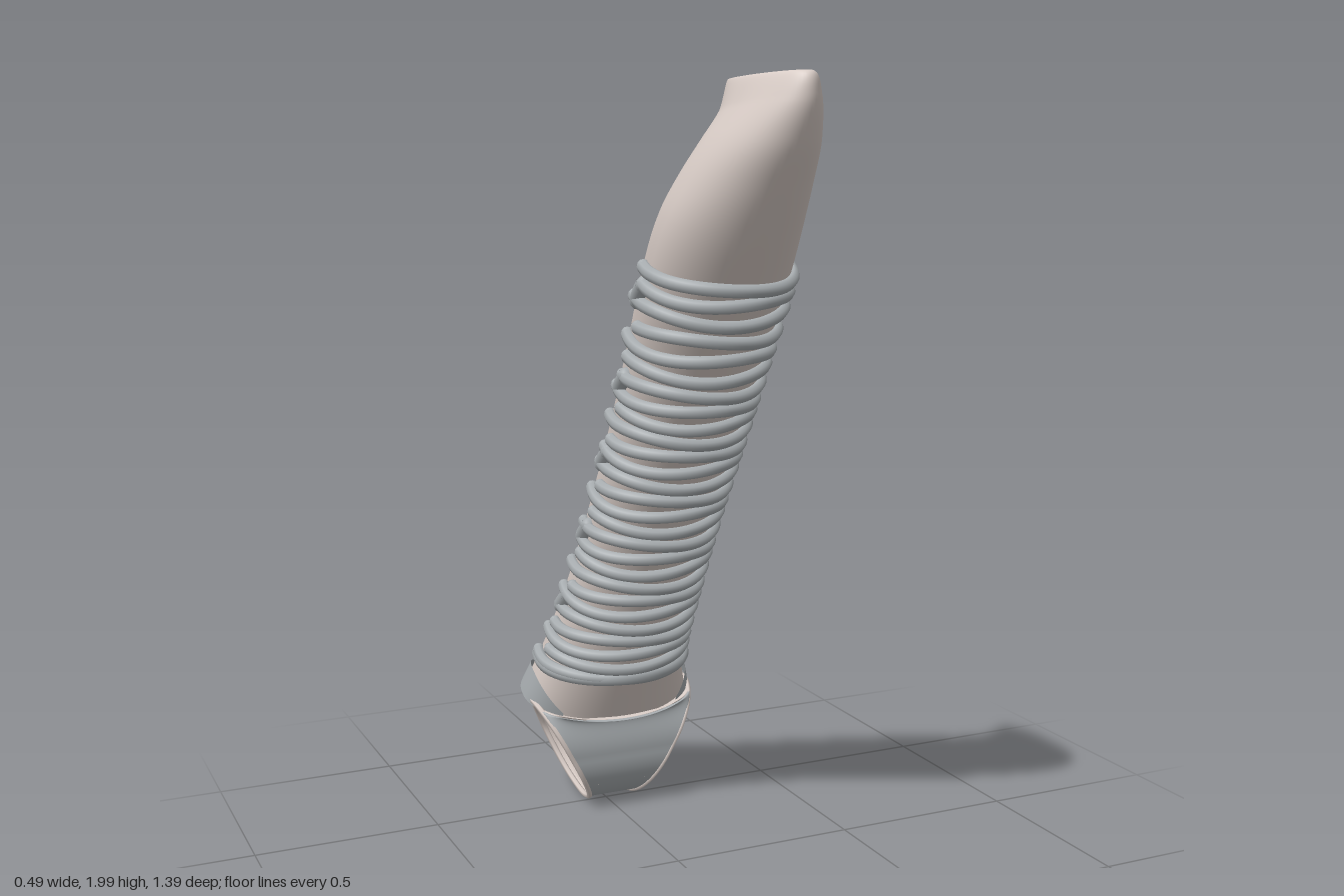
import * as THREE from 'three';

const wallMat = new THREE.MeshStandardMaterial({ color: 0xd9cdc7, side: THREE.DoubleSide });
const cartilageMat = new THREE.MeshStandardMaterial({ color: 0xa8adb0, side: THREE.DoubleSide });
const { sin, cos, PI, max } = Math;

// Stations down the tube: front z, front y, back z, back y, right x, left x
const stations = [
  [0.59, 1.97, 0.37, 1.965, -0.06, 0.005],
  [0.69, 1.99, 0.35, 1.98, -0.075, 0.03],
  [0.70, 1.94, 0.35, 1.91, -0.105, 0.055],
  [0.67, 1.85, 0.335, 1.85, -0.15, 0.08],
  [0.61, 1.75, 0.305, 1.79, -0.185, 0.095],
  [0.535, 1.64, 0.26, 1.72, -0.21, 0.11],
  [0.44, 1.51, 0.20, 1.63, -0.215, 0.125],
  [0.275, 1.28, 0.025, 1.40, -0.19, 0.14],
  [0.115, 1.07, -0.115, 1.19, -0.175, 0.155],
  [-0.04, 0.85, -0.26, 0.97, -0.17, 0.165],
  [-0.175, 0.63, -0.405, 0.75, -0.175, 0.175],
  [-0.29, 0.42, -0.55, 0.53, -0.2, 0.19],
  [-0.37, 0.28, -0.64, 0.39, -0.23, 0.24],
];
const last = stations.length - 1;
const frontLine = new THREE.CatmullRomCurve3(stations.map(s => new THREE.Vector3(s[4], s[1], s[0])));
const backLine = new THREE.CatmullRomCurve3(stations.map(s => new THREE.Vector3(s[5], s[3], s[2])));

// Point on the tube: k is a station number, t the angle (front at PI / 2, flatter back)
function tubePoint(k, t, off = 0) {
  const f = frontLine.getPoint(k / last), b = backLine.getPoint(k / last);
  const s = sin(t) < 0 ? -Math.pow(-sin(t), 0.8) : sin(t);
  const grow = 1 + off / 0.14;
  return new THREE.Vector3(
    (f.x + b.x) / 2 + (b.x - f.x) / 2 * cos(t) * grow,
    (f.y + b.y) / 2 + (f.y - b.y) / 2 * s * grow,
    (f.z + b.z) / 2 + (f.z - b.z) / 2 * s * grow);
}

// Slanted side opening, narrower at the back: a runs top, front, bottom, back
function openingPoint(a, side) {
  const y = 0.009 + 0.163 * (1 + cos(a));
  const x = side < 0 ? -0.05 - 0.18 * y / 0.335 : 0.07 + 0.17 * y / 0.335;
  return new THREE.Vector3(x * (1 - 0.18 * max(0, -sin(a))), y, -0.535 + 0.15 * sin(a) + 0.03 * max(0, cos(a)));
}

// Wall spanning the two openings, swelling to meet the tube at its top edges
function forkPoint(a, t, off = 0) {
  const r = openingPoint(a, -1), l = openingPoint(a, 1);
  const c = max(0, cos(a)) ** 5;
  const swell = a < PI ? c * sin(t) : -c * Math.pow(max(0, sin(t)), 0.8);
  return new THREE.Vector3(
    (l.x + r.x) / 2 + (l.x - r.x) / 2 * cos(t),
    l.y - 0.055 * swell - off * 0.4 * cos(a / 2),
    l.z + 0.135 * swell + off * cos(a / 2));
}

// Smooth surface from a rule over the unit square
function surface(name, rule, nu, nv, mat) {
  const geo = new THREE.PlaneGeometry(1, 1, nu, nv);
  const pos = geo.attributes.position;
  for (let i = 0; i < pos.count; i++) {
    const p = rule(pos.getX(i) + 0.5, 0.5 - pos.getY(i));
    pos.setXYZ(i, p.x, p.y, p.z);
  }
  geo.computeVertexNormals();
  const mesh = new THREE.Mesh(geo, mat);
  mesh.name = name;
  return mesh;
}

// Rounded strand through points, with round ends
function strand(name, points, radius) {
  const group = new THREE.Group();
  group.name = name;
  const curve = new THREE.CatmullRomCurve3(points);
  group.add(new THREE.Mesh(new THREE.TubeGeometry(curve, 40, radius, 8), cartilageMat));
  for (const p of [points[0], points[points.length - 1]]) {
    const end = new THREE.Mesh(new THREE.SphereGeometry(radius, 8, 6), cartilageMat);
    end.position.copy(p);
    group.add(end);
  }
  return group;
}

export function createModel() {
  const model = new THREE.Group();
  model.name = 'windpipe';

  // Outer wall, inner lining and forked lower end
  model.add(surface('tubeWall', (u, v) => tubePoint(v * last, u * 2 * PI), 64, 120, wallMat));
  model.add(surface('innerLining', (u, v) => tubePoint(1.3 + v * (last - 1.3), u * 2 * PI, -0.02), 48, 96, wallMat));
  model.add(surface('forkWall', (u, v) => forkPoint(v * 2 * PI, u * PI), 32, 96, wallMat));

  // Raised ridge between the two openings
  model.add(surface('innerRidge', (u, v) => new THREE.Vector3(
    0.01 + (u - 0.5) * 0.14,
    0.04 + 0.14 * sin(PI * u) + 0.04 * Math.pow(2 * v - 1, 2),
    -0.405 - 0.235 * v), 16, 16, wallMat));

  // Rims of the side openings
  for (const side of [-1, 1]) {
    const loop = [];
    for (let i = 0; i < 24; i++) loop.push(openingPoint(i / 24 * 2 * PI, side));
    const rim = new THREE.Mesh(
      new THREE.TubeGeometry(new THREE.CatmullRomCurve3(loop, true), 64, 0.008, 6, true), wallMat);
    rim.name = side < 0 ? 'rightOpeningRim' : 'leftOpeningRim';
    model.add(rim);
  }

  // Front shell of the fork with a tab on each side
  model.add(surface('forkCartilage', (u, v) => forkPoint(v * PI * 0.97, u * PI, 0.008), 32, 48, cartilageMat));
  for (const [name, from] of [['leftTab', -0.9], ['rightTab', PI - 0.8]]) {
    model.add(surface(name, (u, v) =>
      tubePoint(last - 0.55 * (1 - v) * sin(PI * (0.05 + 0.9 * u)), from + 1.7 * u, 0.007), 20, 8, cartilageMat));
  }

  // C-shaped rings, open at the back, sagging at the sides and slightly uneven
  const rings = 27, ringStation = i => 5.9 + 5.1 * i / (rings - 1);
  const ringPoint = (k, t, off) => tubePoint(k + 0.1 * (1 - sin(t)), t, off);
  for (let i = 0; i < rings; i++) {
    const points = [];
    const start = -0.12 + 0.18 * sin(i * 2.3), end = PI + 0.12 + 0.18 * sin(i * 3.7);
    for (let j = 0; j <= 20; j++) {
      const t = start + (end - start) * j / 20;
      points.push(ringPoint(ringStation(i) + 0.025 * sin(2.5 * t + i * 1.9), t, 0.005));
    }
    model.add(strand('ring', points, 0.0165));
  }

  // Broad bridges fusing neighbouring rings at the sides
  for (let i = 1; i < rings - 2; i += 5) {
    for (const [shift, t] of [[0, PI + 0.02], [2, -0.05]]) {
      const k = ringStation(Math.min(i + shift, rings - 2));
      const points = [0, 0.1, 0.2].map(d => ringPoint(k + d, t + d * 0.5, 0.002));
      model.add(strand('ringBridge', points, 0.021));
    }
  }

  // Broader lowest ring
  const low = [];
  for (let j = 0; j <= 16; j++) low.push(ringPoint(11.03 + 0.05 * cos(j / 8 * PI), -0.25 + (PI + 0.5) * j / 16, 0.002));
  model.add(strand('lowestRing', low, 0.021));

  return model;
}
